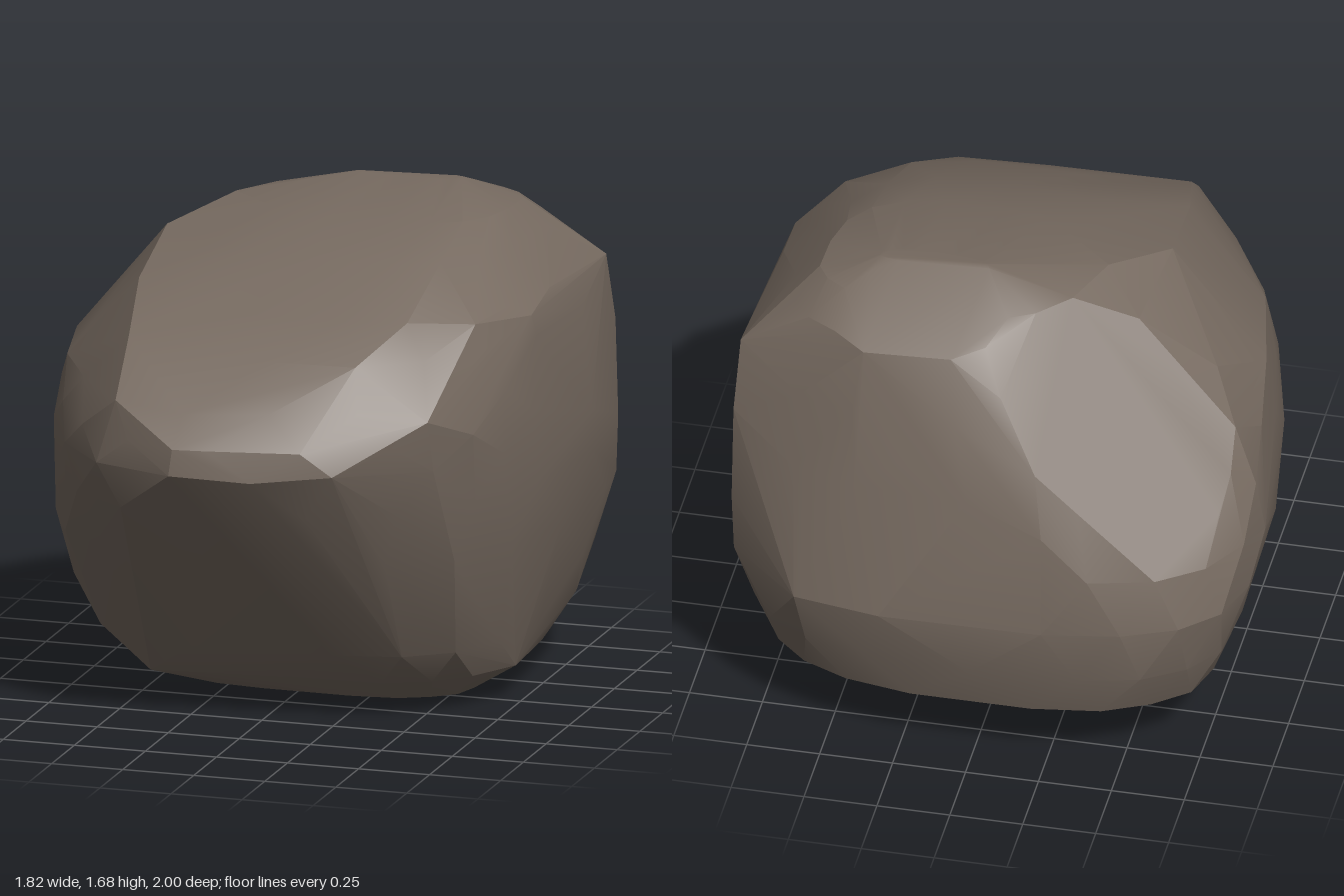
import * as THREE from 'three';
import { toCreasedNormals } from 'three/addons/utils/BufferGeometryUtils.js';
import { ConvexGeometry } from 'three/addons/geometries/ConvexGeometry.js';

// Horizontal sections: y, left x, right x, back z, front z, front and back squareness
const SECTIONS = [
  [0.00, -0.12, 0.28, -0.15, 0.05, 2.5, 2.5],
  [0.03, -0.48, 0.60, -0.28, 0.22, 3.0, 2.6],
  [0.12, -0.63, 0.73, -0.72, 0.38, 3.2, 2.6],
  [0.24, -0.78, 0.78, -0.93, 0.51, 3.2, 2.8],
  [0.40, -0.84, 0.83, -0.98, 0.60, 3.0, 2.9],
  [0.60, -0.90, 0.88, -1.00, 0.75, 2.7, 2.9],
  [0.80, -0.91, 0.90, -0.97, 0.92, 2.3, 2.9],
  [0.95, -0.89, 0.90, -0.94, 1.00, 2.2, 2.9],
  [1.05, -0.87, 0.90, -0.92, 0.98, 2.2, 2.9],
  [1.16, -0.84, 0.89, -0.88, 0.88, 2.3, 2.9],
  [1.30, -0.72, 0.87, -0.84, 0.72, 2.5, 2.9],
  [1.41, -0.62, 0.82, -0.80, 0.54, 2.7, 2.8],
  [1.54, -0.50, 0.71, -0.76, 0.25, 2.8, 2.8],
  [1.62, -0.27, 0.62, -0.62, 0.00, 2.6, 2.6],
  [1.68, 0.04, 0.42, -0.46, -0.38, 2.2, 2.2],
];
const SIDES = 20;

// Single corners that stand out from the sections
const CORNERS = [
  // nose
  [-0.17, 0.96, 1.0], [-0.16, 1.05, 0.99], [0.37, 0.97, 0.89],
  [-0.43, 0.93, 0.86], [-0.15, 1.15, 0.9],
  // ridge between the sloping top and the left flank
  [-0.5, 1.55, -0.02], [-0.48, 1.46, 0.35], [-0.42, 1.34, 0.65], [-0.4, 1.17, 0.86],
  // shoulder between the sloping top and the right flank
  [0.82, 1.37, 0.1], [0.7, 1.39, 0.34], [0.66, 1.3, 0.45], [0.64, 1.13, 0.68],
  // crest and the rear edge of the top
  [0.05, 1.68, -0.41], [0.43, 1.66, -0.5], [-0.33, 1.62, -0.25],
  [-0.34, 1.56, -0.42], [-0.18, 1.51, -0.6], [0, 1.53, -0.68], [0.4, 1.52, -0.77],
  // upright edge between the right flank and the back
  [0.85, 1.4, -0.63], [0.86, 1.16, -0.7], [0.86, 0.82, -0.73], [0.85, 0.62, -0.74],
  // widest points of flanks and back
  [0.905, 0.95, -0.3], [-0.91, 0.76, -0.45], [0.3, 0.6, -1.0], [0.6, 0.6, -0.95],
  // lower corners
  [-0.43, 0.11, 0.38], [0.73, 0.12, -0.01],
];

// Flat breaks: across the upper left of the back, and the rear slope of the top
const BREAKS = [
  new THREE.Plane(new THREE.Vector3(-0.805, 0.906, -1.08), -2.14).normalize(),
  new THREE.Plane(new THREE.Vector3(-0.05, 1, -0.55), -1.91).normalize(),
];

// Repeatable value from 0 to 1 for the chipped surface
function chip(i, j) {
  const v = Math.sin(i * 12.99 + j * 78.23) * 437.58;
  return v - Math.floor(v);
}

const power = (v, n) => Math.sign(v) * Math.pow(Math.abs(v), 2 / n);

function sectionPoints([y, xl, xr, zb, zf, nf, nb], level) {
  const zc = zb + (zf - zb) * 0.34;
  const xc = (xl + xr) / 2;
  const points = [];
  for (let j = 0; j < SIDES; j++) {
    const a = ((j + (level % 2) * 0.5) / SIDES) * Math.PI * 2;
    const n = Math.sin(a) > 0 ? nf : nb;
    const u = power(Math.cos(a), n);
    const w = power(Math.sin(a), n);
    const inset = 1 - 0.025 * chip(level, j);
    // The nose leans towards the right-hand side of the rock
    const lean = w > 0.75 && y > 0.7 && y < 1.25 ? -0.25 * (w - 0.75) : 0;
    const x = xc + u * inset * (xr - xl) / 2 + lean;
    const z = zc + w * inset * (w > 0 ? zf - zc : zc - zb);
    points.push(new THREE.Vector3(x, y, z));
  }
  return points;
}

export function createModel() {
  const group = new THREE.Group();
  group.name = 'rock';

  // Faceted boulder stretched over the sections and corners, cut flat at the breaks
  const points = [
    ...SECTIONS.flatMap(sectionPoints),
    ...CORNERS.map((c) => new THREE.Vector3(...c)),
  ];
  for (const plane of BREAKS) {
    for (const p of points) {
      if (plane.distanceToPoint(p) > 0) plane.projectPoint(p, p);
    }
  }
  const geometry = toCreasedNormals(new ConvexGeometry(points), 0.3);
  const boulder = new THREE.Mesh(geometry, new THREE.MeshStandardMaterial({ color: 0x75695f }));
  boulder.name = 'boulder';
  group.add(boulder);
  return group;
}
